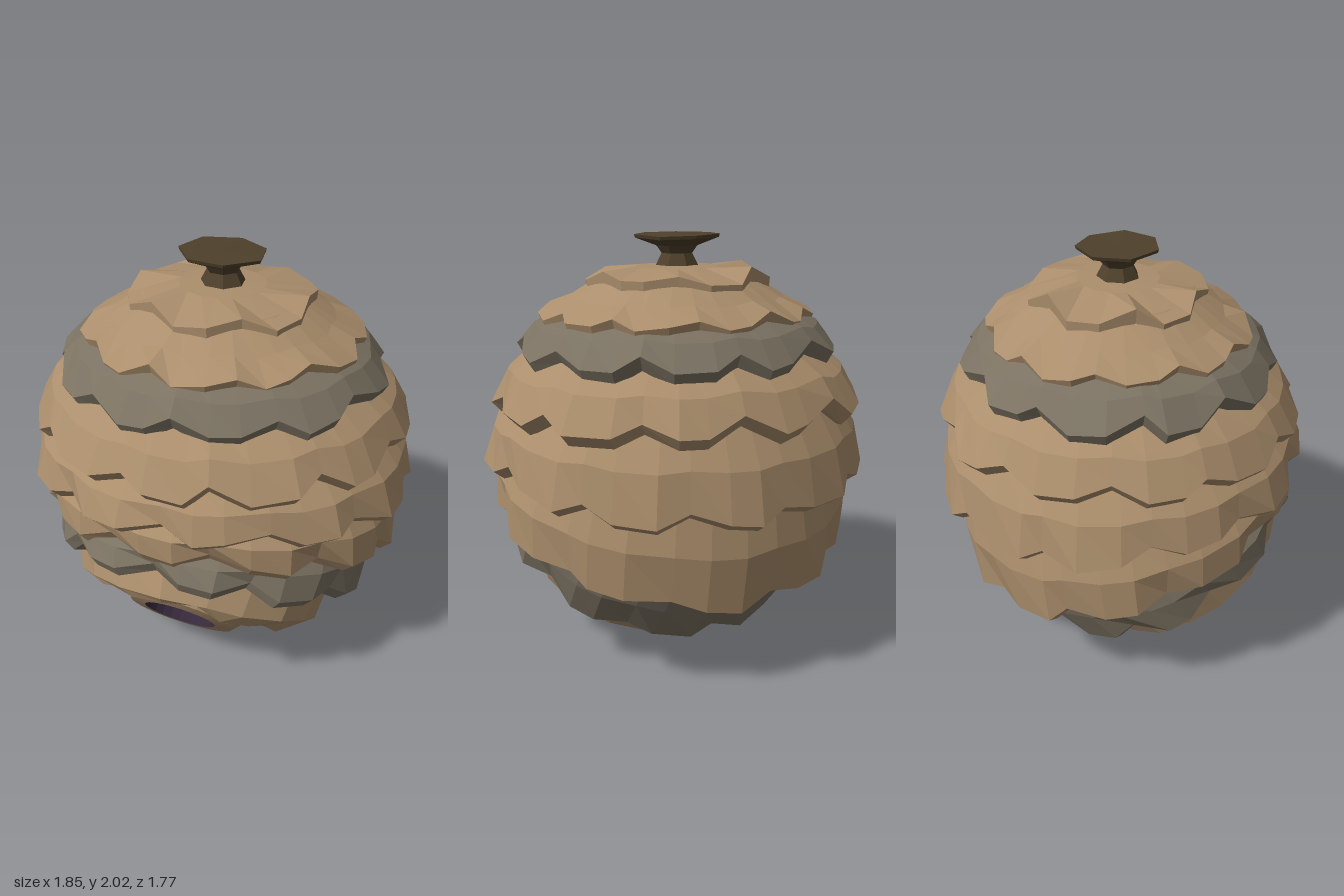
import * as THREE from 'three';

const Z_SCALE = 0.94; // body is slightly narrower front to back

function seeded(seed) {
  let s = seed * 7919 + 17;
  return () => (s = (s * 16807) % 2147483647) / 2147483647;
}

// Faceted surface through tilted rings, listed from top to bottom.
// Ring: { r, y, z, tilt (degrees), wave (scallop weight) }
function ringShell(name, material, rings, { columns, step = 3, amp = 0, phase = 0, jitter = 0, seed = 1 }) {
  const rand = seeded(seed);
  const cols = Array.from({ length: columns }, (_, j) => ({
    cusp: j % step === 0,
    dr: (rand() - 0.5) * jitter,
    dy: (rand() - 0.5) * jitter,
    da: (rand() - 0.5) * jitter * 3,
  }));
  const positions = [];
  for (const { r, y, z = 0, tilt = 0, wave = 0 } of rings) {
    const t = THREE.MathUtils.degToRad(tilt);
    cols.forEach((c, j) => {
      const a = ((j + phase) / columns) * Math.PI * 2 + c.da;
      const rr = r === 0 ? 0 : r + wave * (c.dr + (c.cusp ? -0.8 : 0.25) * amp);
      const up = wave * ((c.cusp ? 1 : -0.5) * amp + c.dy);
      const lz = rr * Math.cos(a) * Z_SCALE;
      positions.push(
        rr * Math.sin(a),
        y + lz * Math.sin(t) + up * Math.cos(t),
        z + lz * Math.cos(t) - up * Math.sin(t));
    });
  }
  const index = [];
  for (let k = 0; k < rings.length - 1; k++) {
    for (let j = 0; j < columns; j++) {
      const n = (j + 1) % columns;
      const a = k * columns + j, b = k * columns + n;
      const c = a + columns, d = b + columns;
      if (rings[k + 1].r > 0) index.push(a, c, d);
      else index.push(a, c, b);
      if (rings[k].r > 0 && rings[k + 1].r > 0) index.push(a, d, b);
    }
  }
  const indexed = new THREE.BufferGeometry();
  indexed.setAttribute('position', new THREE.Float32BufferAttribute(positions, 3));
  indexed.setIndex(index);
  const geometry = indexed.toNonIndexed();
  geometry.computeVertexNormals();
  const mesh = new THREE.Mesh(geometry, material);
  mesh.name = name;
  return mesh;
}

export function createModel() {
  const paper = new THREE.MeshStandardMaterial({ color: 0xab8e6c });
  const grey = new THREE.MeshStandardMaterial({ color: 0x7b7262 });
  const bark = new THREE.MeshStandardMaterial({ color: 0x4e402b });
  const hollow = new THREE.MeshStandardMaterial({ color: 0x35283a });
  paper.name = 'tanPaper';
  grey.name = 'greyPaper';
  bark.name = 'darkStem';
  hollow.name = 'purpleHollow';

  const nest = new THREE.Group();
  nest.name = 'hangingNest';

  // Underside that runs inwards from a lip until it meets the next layer
  const underside = (edge) => ({ ...edge, r: edge.r - 0.1, y: edge.y + 0.01 });

  // Cap under the stem
  let lip = { r: 0.425, y: 1.75, z: 0, tilt: 0, wave: 1 };
  nest.add(ringShell('topCap', paper, [
    { r: 0, y: 1.86 }, { r: 0.2, y: 1.85 }, { r: 0.43, y: 1.815, wave: 1 }, lip, underside(lip),
  ], { columns: 18, amp: 0.03, phase: 1.5, jitter: 0.03, seed: 3 }));

  // Each paper layer starts inside the lip above, bulges, and ends in a thick scalloped rim.
  // The layers tilt further towards the entrance as they go down.
  function addLayer(name, material, rim, { bulge, lift = 0.015, inset, drop, columns, amp, seed }) {
    const start = { ...lip, r: lip.r - 0.06, y: lip.y + 0.06, wave: 0 };
    const half = (key) => (start[key] + rim[key]) / 2;
    const middle = { r: half('r') + bulge, y: half('y') + lift, z: half('z'), tilt: half('tilt'), wave: 0.25 };
    const t = THREE.MathUtils.degToRad(rim.tilt);
    lip = { ...rim, r: rim.r - inset, y: rim.y - drop * Math.cos(t), z: rim.z + drop * Math.sin(t) };
    nest.add(ringShell(name, material, [start, middle, rim, lip, underside(lip)],
      { columns, amp, phase: seed * 1.3, jitter: 0.03, seed }));
  }
  const rim = (r, y, z, tilt) => ({ r, y, z, tilt, wave: 1 });

  addLayer('upperLayer', paper, rim(0.645, 1.65, 0, 0),
    { bulge: 0.01, lift: -0.015, inset: 0.02, drop: 0.05, columns: 33, amp: 0.027, seed: 4 });
  addLayer('upperGreyLayer', grey, rim(0.775, 1.5, 0, 0),
    { bulge: 0.02, inset: 0.035, drop: 0.065, columns: 33, amp: 0.04, seed: 5 });
  addLayer('shoulderLayer', paper, rim(0.9, 1.26, 0, 0),
    { bulge: 0.03, inset: 0.05, drop: 0.055, columns: 36, amp: 0.043, seed: 6 });
  addLayer('middleLayer', paper, rim(0.935, 0.97, 0, 6),
    { bulge: 0.03, inset: 0.05, drop: 0.04, columns: 36, amp: 0.035, seed: 7 });
  addLayer('lowerLayer', paper, rim(0.885, 0.67, 0.03, 17),
    { bulge: 0.03, inset: 0.05, drop: 0.04, columns: 33, amp: 0.032, seed: 8 });
  addLayer('lowerGreyLayer', grey, rim(0.76, 0.47, 0.21, 28),
    { bulge: 0.02, inset: 0.05, drop: 0.04, columns: 30, amp: 0.032, seed: 9 });
  addLayer('bottomLayer', paper, rim(0.44, 0.325, 0.49, 44),
    { bulge: 0.06, lift: -0.085, inset: 0.05, drop: -0.01, columns: 18, amp: 0.022, seed: 10 });

  // Entrance spout with a flat lip
  const mouth = { r: 0.18, y: 0.35, z: 0.59, tilt: 56 };
  nest.add(ringShell('entranceSpout', paper, [
    { r: 0.4, y: 0.4, z: 0.38, tilt: 46 },
    { r: 0.35, y: 0.365, z: 0.47, tilt: 50 },
    { r: 0.262, y: 0.342, z: 0.572, tilt: 56 },
    mouth,
  ], { columns: 24 }));

  // Dark hollow inside the entrance
  nest.add(ringShell('entranceHollow', hollow, [
    mouth,
    { r: 0.18, y: 0.56, z: 0.28, tilt: 56 },
    { r: 0, y: 0.57, z: 0.265, tilt: 56 },
  ], { columns: 24 }));

  // Flared stem that hangs the nest
  nest.add(ringShell('stem', bark, [
    { r: 0, y: 2 }, { r: 0.205, y: 1.995, wave: 0.5 }, { r: 0.2, y: 1.98, wave: 0.5 },
    { r: 0.1, y: 1.945 }, { r: 0.075, y: 1.91 }, { r: 0.115, y: 1.835 },
  ], { columns: 7, step: 99, jitter: 0.02, phase: 0.4, seed: 21 }));

  return nest;
}
